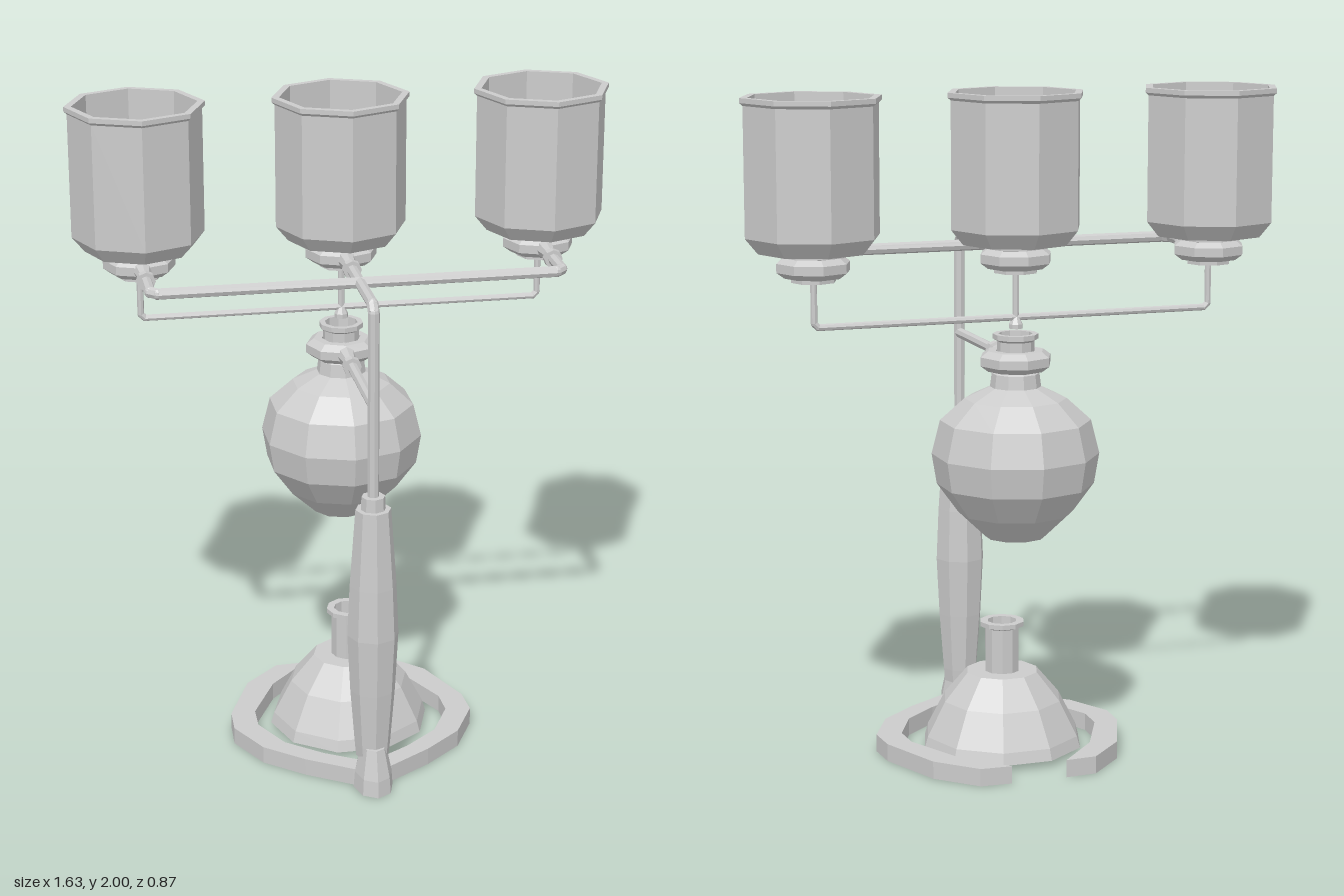
import * as THREE from 'three';

const mat = new THREE.MeshStandardMaterial({ color: 0xcccccc, flatShading: true });
const CUP_Z = -0.19, POST_Z = 0.336, CUP_X = 0.607;

function part(name, geometry, parent, x = 0, y = 0, z = 0) {
  const mesh = new THREE.Mesh(geometry, mat);
  mesh.name = name;
  mesh.position.set(x, y, z);
  parent.add(mesh);
  return mesh;
}

// Faceted turned part from [radius, height] pairs
function turned(profile, sides, turn = 0) {
  return new THREE.LatheGeometry(profile.map(([r, y]) => new THREE.Vector2(r, y)), sides, turn);
}

// Pipe through corner points, each bend cut by a short chamfer
function pipe(name, corners, radius, parent) {
  const group = new THREE.Group();
  group.name = name;
  const pts = corners.map(c => new THREE.Vector3(...c));
  const path = [];
  pts.forEach((p, i) => {
    if (i === 0 || i === pts.length - 1) return path.push(p);
    for (const q of [pts[i - 1], pts[i + 1]]) {
      path.push(p.clone().add(q.clone().sub(p).setLength(radius * 1.2)));
    }
  });
  for (let i = 0; i + 1 < path.length; i++) {
    const dir = path[i + 1].clone().sub(path[i]);
    const rod = part(name + 'Rod', new THREE.CylinderGeometry(radius, radius, dir.length(), 8), group);
    rod.position.copy(path[i]).addScaledVector(dir, 0.5);
    rod.quaternion.setFromUnitVectors(new THREE.Vector3(0, 1, 0), dir.clone().normalize());
    if (i > 0) part(name + 'Elbow', new THREE.SphereGeometry(radius, 8, 6), group).position.copy(path[i]);
  }
  parent.add(group);
}

// Clamp: bevelled ring round a neck, with a flared socket facing the arm
function clamp(x, y, parent) {
  const group = new THREE.Group();
  group.name = 'clamp';
  group.position.set(x, y, CUP_Z);
  part('clampRing', turned([[0.06, -0.03], [0.085, -0.03], [0.108, -0.013], [0.108, 0.013],
    [0.085, 0.03], [0.06, 0.03], [0.06, -0.03]], 8), group);
  const socket = part('clampSocket', turned([[0, -0.13], [0.031, -0.13], [0.031, -0.1], [0.019, -0.02],
    [0.019, 0], [0.028, 0.002], [0.028, 0.026], [0, 0.026]], 8), group, 0, 0, 0.167);
  socket.rotation.x = Math.PI / 2;
  parent.add(group);
}

// Horseshoe of the base, drawn as one half and mirrored
function horseshoe() {
  const outer = [[0, 0.37], [0.06, 0.335], [0.19, 0.25], [0.305, 0.15], [0.375, 0.01], [0.37, -0.09],
    [0.29, -0.29], [0.18, -0.4]];
  const inner = [[0.085, -0.405], [0.21, -0.27], [0.295, -0.09], [0.298, 0], [0.235, 0.13], [0.13, 0.22], [0, 0.3]];
  const half = [...outer, ...inner];
  // The two halves share the edge under the post
  const mirrored = side => {
    const shape = new THREE.Shape(half.map(([x, z]) => new THREE.Vector2(side * x, -z)));
    const geo = new THREE.ExtrudeGeometry(shape, { depth: 0.053, bevelEnabled: false });
    return geo.rotateX(-Math.PI / 2);
  };
  return [mirrored(1), mirrored(-1)];
}

export function createModel() {
  const model = new THREE.Group();
  model.name = 'apparatus';

  // Base ring and post
  horseshoe().forEach((g, i) => part(i ? 'baseRingRight' : 'baseRingLeft', g, model));
  const foot = part('postFoot', turned([[0, 0], [0.088, 0], [0.082, 0.05], [0.055, 0.14], [0, 0.14]], 8),
    model, 0, 0, 0.347);
  foot.scale.x = 0.68;
  part('post', turned([[0, 0.1], [0.05, 0.1], [0.054, 0.14], [0.068, 0.32], [0.077, 0.5], [0.07, 0.66],
    [0.053, 0.9], [0.037, 0.9], [0.035, 0.94], [0, 0.94]], 8), model, 0, 0, POST_Z);

  // Domed vessel with a short open chimney
  part('dome', turned([[0, 0.02], [0.247, 0.02], [0.237, 0.055], [0.182, 0.16], [0.11, 0.245], [0.053, 0.245],
    [0.053, 0.38], [0.068, 0.386], [0.068, 0.4], [0.045, 0.4], [0.042, 0.26], [0, 0.26]], 10, Math.PI / 10),
    model, 0, 0, -0.07);

  // Hanging flask with an open neck
  part('flask', turned([[0, 0.69], [0.09, 0.69], [0.17, 0.765], [0.232, 0.85], [0.247, 0.94], [0.222, 1.04],
    [0.15, 1.105], [0.075, 1.14], [0.07, 1.18], [0.055, 1.19], [0.055, 1.275], [0.067, 1.282],
    [0.067, 1.297], [0.05, 1.297], [0.045, 1.2], [0, 1.2]], 10), model, 0, 0, CUP_Z);
  clamp(0, 1.218, model);

  // Three open cups, each on a neck held by a clamp
  for (const x of [-CUP_X, 0, CUP_X]) {
    part('cup', turned([[0, 1.477], [0.066, 1.477], [0.066, 1.545], [0.098, 1.55], [0.098, 1.56], [0.16, 1.562],
      [0.197, 1.607], [0.197, 1.978], [0.206, 1.986], [0.206, 2], [0.184, 2], [0.18, 1.61], [0.15, 1.58],
      [0, 1.58]], 8), model, x, 0, CUP_Z);
    clamp(x, 1.52, model);
  }

  // Support arms
  pipe('mainArm', [[0, 0.92, POST_Z], [0, 1.52, POST_Z], [0, 1.52, -0.03]], 0.017, model);
  pipe('flaskArm', [[0, 1.218, POST_Z], [0, 1.218, -0.03]], 0.016, model);
  pipe('crossArm', [[-CUP_X, 1.52, -0.03], [-CUP_X, 1.52, 0.12], [CUP_X, 1.52, 0.12], [CUP_X, 1.52, -0.03]],
    0.017, model);

  // Feed lines under the cups, ending in a small nozzle
  pipe('sideFeed', [[-CUP_X, 1.49, CUP_Z], [-CUP_X, 1.345, CUP_Z], [CUP_X, 1.345, CUP_Z], [CUP_X, 1.49, CUP_Z]],
    0.01, model);
  pipe('centreFeed', [[0, 1.49, CUP_Z], [0, 1.32, CUP_Z]], 0.01, model);
  part('nozzle', turned([[0, 1.312], [0.021, 1.312], [0.021, 1.325], [0.01, 1.347]], 8), model, 0, 0, CUP_Z);

  return model;
}
